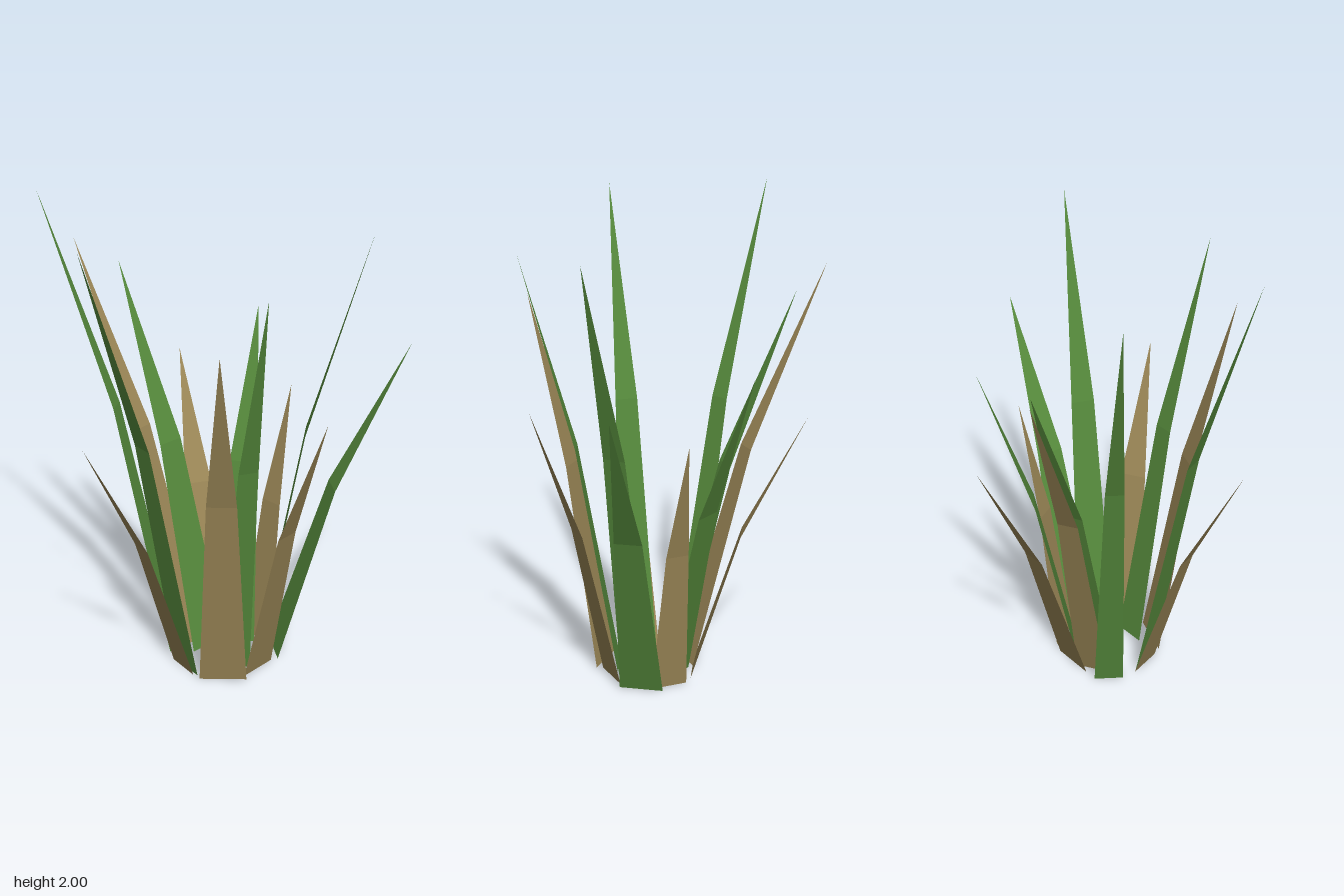
import * as THREE from 'three';

// Centre of the tuft that every blade fans out from
const CX = -0.044, CZ = 0.047;

// One flat blade: wide foot, narrower bend, pointed tip, leaning away from the centre
function bladeGeometry(tipX, tipY, tipZ, footRadius, halfWidth) {
  const length = Math.hypot(tipX - CX, tipZ - CZ);
  const dx = (tipX - CX) / length, dz = (tipZ - CZ) / length;
  const point = (r, y, side) => [CX + dx * r - dz * side, y, CZ + dz * r + dx * side];
  const bendRadius = footRadius + (length - footRadius) * 0.43;
  const bendY = tipY * 0.55, bendWidth = halfWidth * 0.63;
  const a = point(footRadius, 0, halfWidth), b = point(footRadius, 0, -halfWidth);
  const c = point(bendRadius, bendY, bendWidth), d = point(bendRadius, bendY, -bendWidth);
  const tip = point(length, tipY, 0);
  const geometry = new THREE.BufferGeometry();
  geometry.setAttribute('position', new THREE.Float32BufferAttribute(
    [a, b, d, a, d, c, c, d, tip].flat(), 3));
  geometry.computeVertexNormals();
  return geometry;
}

export function createModel() {
  const green = new THREE.MeshStandardMaterial({ color: 0x568a3c, side: THREE.DoubleSide });
  green.name = 'leaf green';
  const dry = new THREE.MeshStandardMaterial({ color: 0x9a8656, side: THREE.DoubleSide });
  dry.name = 'dry straw';

  // tip x, y, z, foot distance from centre, half width at the foot
  const greenBlades = [
    [-0.735, 2.0, -0.31, 0.223, 0.061],
    [-0.39, 1.61, -0.495, 0.095, 0.09],
    [0.19, 1.4, -0.42, 0.125, 0.097],
    [0.735, 1.37, 0.04, 0.214, 0.092],
    [0.53, 1.915, 0.193, 0.136, 0.078],
    [0.03, 1.81, 0.58, 0.138, 0.067],
    [-0.65, 1.965, 0.357, 0.2, 0.076],
  ];
  const dryBlades = [
    [-0.565, 1.69, -0.597, 0.165, 0.068],
    [-0.122, 1.155, -0.592, 0.175, 0.092],
    [0.283, 1.13, -0.177, 0.194, 0.079],
    [0.29, 1.235, 0.472, 0.188, 0.086],
    [-0.158, 1.6, 0.593, 0.213, 0.098],
    [-0.65, 1.135, 0.312, 0.208, 0.076],
  ];

  const group = new THREE.Group();
  group.name = 'grassTuft';
  const addBlades = (blades, material, name) => blades.forEach((blade, i) => {
    const mesh = new THREE.Mesh(bladeGeometry(...blade), material);
    mesh.name = `${name}${i + 1}`;
    group.add(mesh);
  });
  addBlades(greenBlades, green, 'greenBlade');
  addBlades(dryBlades, dry, 'dryBlade');
  return group;
}
